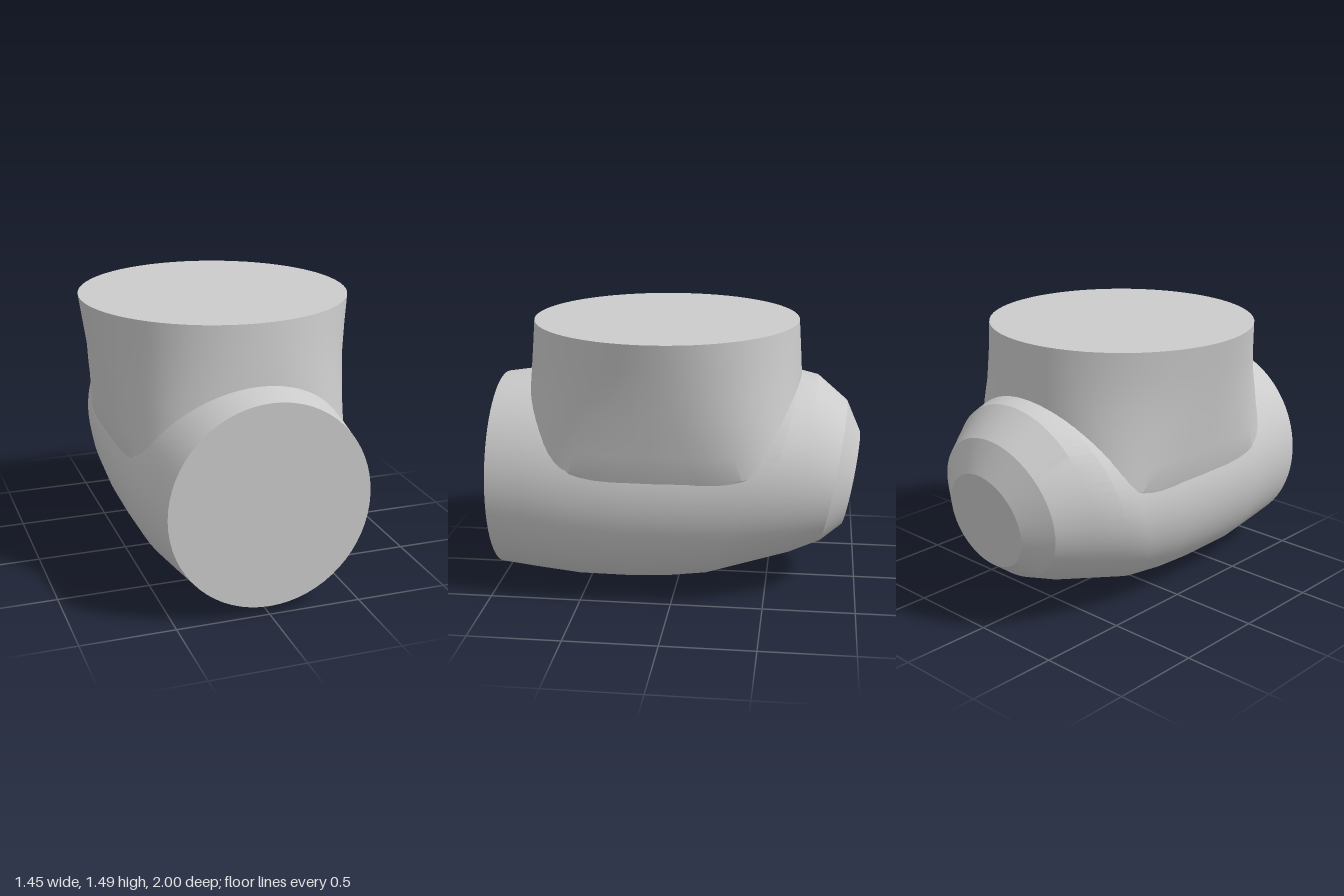
import * as THREE from 'three';
import { toCreasedNormals } from 'three/addons/utils/BufferGeometryUtils.js';

const SIDES = 64;

// Skin a list of rings (each an array of Vector3) and close both ends with flat caps.
function loft(rings) {
  const pos = [];
  const tri = (a, b, c) => pos.push(...a.toArray(), ...b.toArray(), ...c.toArray());
  const n = rings[0].length;
  for (let i = 0; i < rings.length - 1; i++) {
    for (let j = 0; j < n; j++) {
      const k = (j + 1) % n;
      const [a, b, c, d] = [rings[i][j], rings[i][k], rings[i + 1][j], rings[i + 1][k]];
      tri(a, c, b);
      tri(b, c, d);
    }
  }
  const first = rings[0], last = rings[rings.length - 1];
  const centre = (r) => r.reduce((s, p) => s.add(p), new THREE.Vector3()).divideScalar(n);
  const c0 = centre(first), c1 = centre(last);
  for (let j = 0; j < n; j++) {
    const k = (j + 1) % n;
    tri(c0, first[j], first[k]);
    tri(c1, last[k], last[j]);
  }
  const geometry = new THREE.BufferGeometry();
  geometry.setAttribute('position', new THREE.Float32BufferAttribute(pos, 3));
  return toCreasedNormals(geometry, 0.3);
}

// Superellipse outline: exponent 2 is round, higher is squarer.
function outline(exponent, place) {
  const power = (v) => Math.sign(v) * Math.pow(Math.abs(v), 2 / exponent);
  return Array.from({ length: SIDES }, (_, j) => {
    const t = (j / SIDES) * Math.PI * 2;
    return place(power(Math.cos(t)), power(Math.sin(t)));
  });
}

export function createModel() {
  const group = new THREE.Group();
  group.name = 'branchedPipe';
  const material = new THREE.MeshStandardMaterial({ color: 0xcccccc });
  const add = (name, geometry) => {
    const mesh = new THREE.Mesh(geometry, material);
    mesh.name = name;
    group.add(mesh);
  };

  // Horizontal body, tilting and tapering to a blunt end: top z, y, bottom z, y, half width
  const body = [
    [1, 1.15, 1, 0.05, 0.54],
    [0.8, 1.18, 0.8, 0.028, 0.57],
    [0.55, 1.2, 0.55, 0.005, 0.605],
    [0.2, 1.2, 0.25, 0.003, 0.608],
    [-0.2, 1.2, 0.05, 0.015, 0.608],
    [-0.6, 1.2, -0.15, 0.04, 0.592],
    [-0.67, 1.2, -0.36, 0.105, 0.575],
    [-0.76, 1.18, -0.62, 0.18, 0.51],
    [-0.925, 1.04, -0.79, 0.25, 0.41],
    [-1, 0.87, -0.91, 0.34, 0.265],
  ].map(([zt, yt, zb, yb, w]) => outline(2, (u, v) => new THREE.Vector3(
    u * w, (yt + yb) / 2 + v * (yt - yb) / 2, (zt + zb) / 2 + v * (zt - zb) / 2)));
  add('body', loft(body));

  // Upright neck, round at the top and squarer where it joins: y, half width, half depth, exponent
  const neck = [
    [1.495, 0.725, 0.725, 2],
    [1.35, 0.7, 0.735, 2.1],
    [1.19, 0.67, 0.745, 2.3],
    [1.08, 0.655, 0.75, 2.55],
    [0.98, 0.638, 0.75, 2.85],
    [0.88, 0.624, 0.745, 3.3],
    [0.76, 0.605, 0.74, 4],
    [0.65, 0.57, 0.7, 4],
  ].map(([y, w, d, e]) => outline(e, (u, v) => new THREE.Vector3(u * w, y, 0.075 - v * d)));
  add('neck', loft(neck));

  return group;
}
